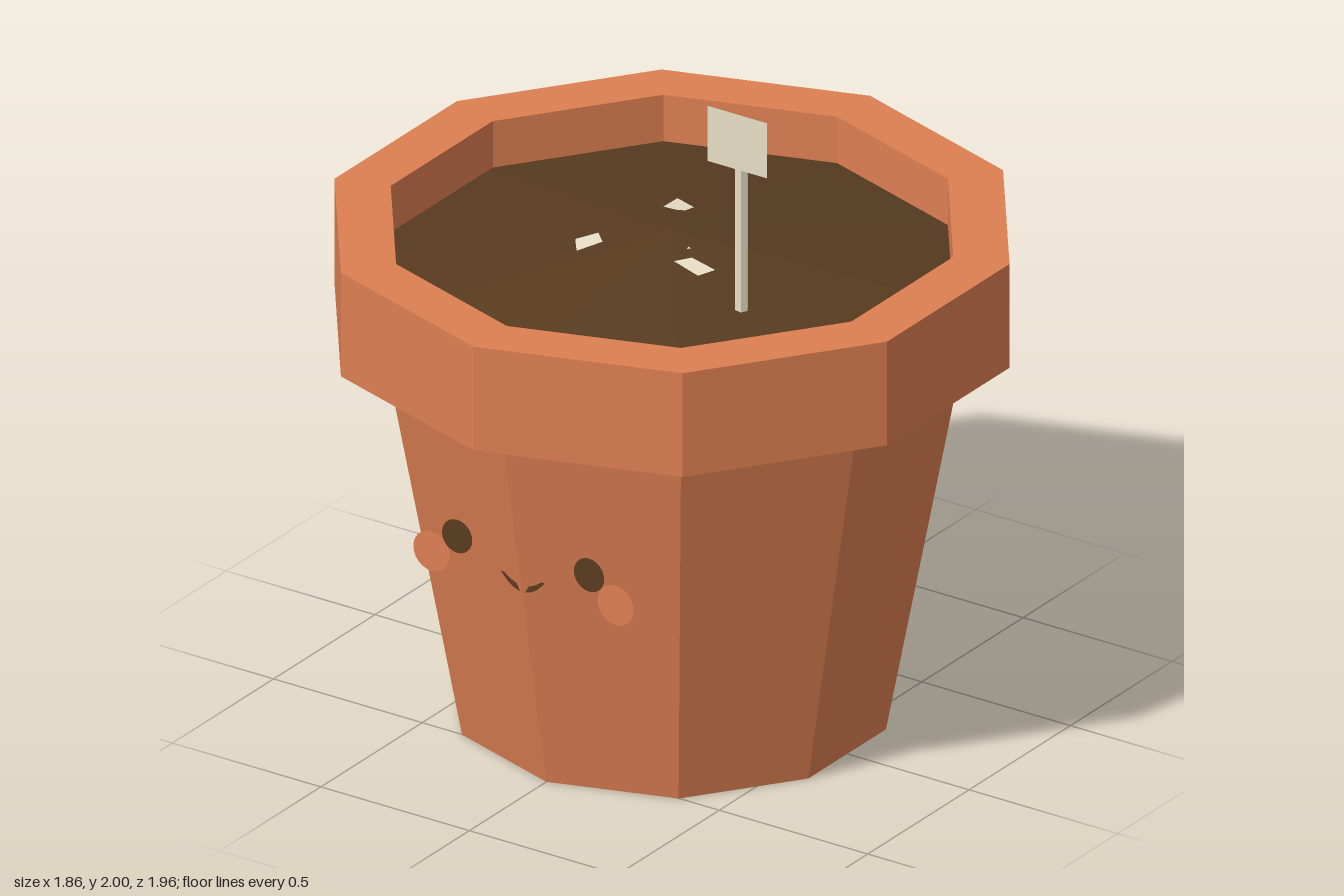
import * as THREE from 'three';

const SIDES = 10;

const mat = (name, color, side = THREE.FrontSide) => {
  const m = new THREE.MeshStandardMaterial({ color, side });
  m.name = name;
  return m;
};

// Split the faces so each one is shaded flat
const faceted = (geo) => {
  const g = geo.index ? geo.toNonIndexed() : geo;
  g.computeVertexNormals();
  return g;
};

const lathe = (points) =>
  faceted(new THREE.LatheGeometry(points.map(([r, y]) => new THREE.Vector2(r, y)), SIDES));

// Mounded soil: edge radius, edge height and rise to the centre
const SOIL = { radius: 0.815, edge: 1.34, rise: 0.115 };
const soilHeight = (x, z) => SOIL.edge + SOIL.rise * (1 - Math.hypot(x, z) / SOIL.radius);

export function createModel() {
  const model = new THREE.Group();
  model.name = 'flowerPot';

  const terracotta = mat('terracotta', 0xdd7f52, THREE.DoubleSide);
  const darkBrown = mat('darkBrown', 0x573b20, THREE.DoubleSide);
  const paleStone = mat('paleStone', 0xe8dfc6);

  const add = (name, geo, material, x = 0, y = 0, z = 0) => {
    const mesh = new THREE.Mesh(geo, material);
    mesh.name = name;
    mesh.position.set(x, y, z);
    model.add(mesh);
    return mesh;
  };

  // Tapered body with its base, and the collar around the top
  add('potBody', lathe([[0, 0], [0.62, 0], [0.84, 1.163]]), terracotta);
  add('rim', lathe([[0.84, 1.163], [0.978, 1.163], [0.978, 1.483], [0.815, 1.483], [0.815, 1.33]]), terracotta);

  // Soil rising to a low point in the middle
  add('soil', faceted(new THREE.ConeGeometry(SOIL.radius, SOIL.rise, SIDES, 1, true)), darkBrown,
    0, SOIL.edge + SOIL.rise / 2, 0);

  // Pale chips lying on the slope of the soil, outlines as [x, z]
  const chips = [
    [[-0.145, -0.24], [-0.062, -0.2], [-0.066, -0.16], [-0.09, -0.15], [-0.135, -0.155]],
    [[-0.19, 0.085], [-0.145, 0.13], [-0.185, 0.2], [-0.23, 0.14]],
    [[0.125, 0.085], [0.21, 0.095], [0.19, 0.15], [0.095, 0.13]],
    [[0.085, 0.045], [0.097, 0.048], [0.09, 0.057]],
  ];
  for (const outline of chips) {
    const shape = new THREE.Shape(outline.map(([x, z]) => new THREE.Vector2(x, -z)));
    const geo = new THREE.ShapeGeometry(shape).rotateX(-Math.PI / 2);
    const p = geo.attributes.position;
    for (let i = 0; i < p.count; i++) p.setY(i, soilHeight(p.getX(i), p.getZ(i)) + 0.005);
    add('soilChip', faceted(geo), paleStone);
  }

  // Plant marker: six-sided stake with a thin two-faced label on its front
  const stake = new THREE.CylinderGeometry(0.02, 0.02, 0.575, 6, 1, true).rotateY(Math.PI / 6);
  add('markerStake', faceted(stake), paleStone, 0.37, 1.6675, 0.2);
  for (const turn of [0, Math.PI]) {
    add('markerLabel', new THREE.PlaneGeometry(0.2, 0.17), paleStone, 0.37, 1.915, 0.221).rotation.y = turn;
  }

  // Face: flat discs and a crescent smile
  for (const s of [1, -1]) {
    add(s > 0 ? 'leftEye' : 'rightEye', new THREE.CircleGeometry(0.051, 24), darkBrown, s * 0.222, 0.743, 0.735);
    add(s > 0 ? 'leftCheek' : 'rightCheek', new THREE.CircleGeometry(0.061, 24), terracotta, s * 0.31, 0.673, 0.733);
  }
  const smile = new THREE.Shape();
  smile.moveTo(-0.074, 0.678);
  smile.quadraticCurveTo(0, 0.585, 0.074, 0.678);
  smile.lineTo(0.062, 0.678);
  smile.quadraticCurveTo(0, 0.625, -0.062, 0.678);
  add('smile', new THREE.ShapeGeometry(smile, 12), darkBrown, 0, 0, 0.737);

  return model;
}
